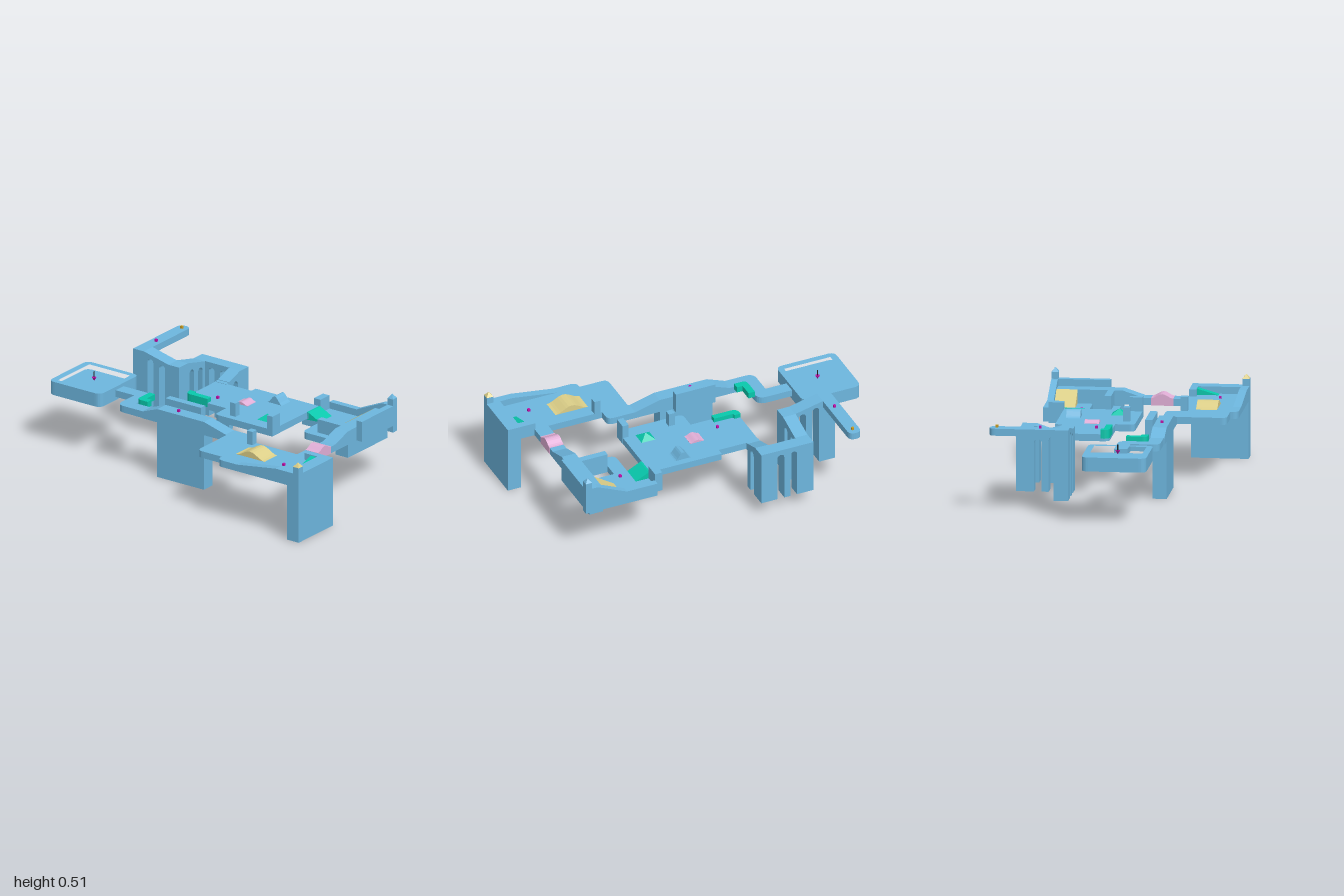
import * as THREE from 'three';

const mats = {};
const mat = (c) => (mats[c] ??= new THREE.MeshStandardMaterial({ color: c }));
const BLUE = 0x6db6de, TEAL = 0x08c8ac, PINK = 0xe0aed6, YELLOW = 0xdccf88, MAGENTA = 0xc010a8, GOLD = 0xc89a20;

export function createModel() {
  const root = new THREE.Group();
  const add = (name, geo, color = BLUE) => {
    const m = new THREE.Mesh(geo, mat(color));
    m.name = name;
    root.add(m);
    return m;
  };

  // Box given by its limits
  const box = (name, x0, x1, y0, y1, z0, z1, color) =>
    add(name, new THREE.BoxGeometry(x1 - x0, y1 - y0, z1 - z0)
      .translate((x0 + x1) / 2, (y0 + y1) / 2, (z0 + z1) / 2), color);

  // Closed outline from [a, b, cornerRadius] points
  const outline = (pts, Type = THREE.Shape) => {
    const s = new Type();
    pts.forEach(([a, b, r = 0], i) => {
      const p = new THREE.Vector2(a, b);
      const toward = (q) => new THREE.Vector2(q[0], q[1]).sub(p).setLength(r).add(p);
      const start = r ? toward(pts[(i + pts.length - 1) % pts.length]) : p;
      if (i) s.lineTo(start.x, start.y); else s.moveTo(start.x, start.y);
      if (r) {
        const end = toward(pts[(i + 1) % pts.length]);
        s.quadraticCurveTo(a, b, end.x, end.y);
      }
    });
    s.closePath();
    return s;
  };
  const extrude = (shape, depth) =>
    new THREE.ExtrudeGeometry(shape, { depth, bevelEnabled: false, curveSegments: 6 });

  // Slab from a plan of [x, z, r] points
  const flip = (pts) => pts.map(([x, z, r]) => [x, -z, r]);
  const slab = (name, pts, y0, y1, color, hole) => {
    const s = outline(flip(pts));
    if (hole) s.holes.push(outline(flip(hole), THREE.Path));
    return add(name, extrude(s, y1 - y0).rotateX(-Math.PI / 2).translate(0, y0, 0), color);
  };
  // Profile of [x, y] swept over z, or of [z, y] swept over x
  const sweepZ = (name, pts, z0, z1, color) =>
    add(name, extrude(outline(pts), z1 - z0).translate(0, 0, z0), color);
  const sweepX = (name, pts, x0, x1, color) =>
    add(name, extrude(outline(flip(pts).map(([z, y, r]) => [z, -y, r]).map(([a, b, r], i) => [-pts[i][0], pts[i][1], r])), x1 - x0)
      .rotateY(Math.PI / 2).translate(x0, 0, 0), color);

  const rect = (x0, x1, z0, z1, r) => [[x0, z0, r], [x1, z0, r], [x1, z1, r], [x0, z1, r]];
  // Smooth hump profile between a and b
  const hump = (a, b, base, low, height) => {
    const pts = [[a, base]];
    for (let i = 0; i <= 12; i++) {
      const t = i / 12;
      pts.push([a + (b - a) * t, low + height * (1 - Math.cos(2 * Math.PI * t)) / 2]);
    }
    pts.push([b, base]);
    return pts;
  };
  const pyramid = (name, x, y, z, size, h, color) =>
    add(name, new THREE.ConeGeometry(size / Math.SQRT2, h, 4).toNonIndexed().rotateY(Math.PI / 4)
      .translate(x, y + h / 2, z), color).geometry.computeVertexNormals();

  // Tray
  slab('trayFloor', rect(-1, -0.64, -0.085, 0.28, 0.04), 0.31, 0.345);
  slab('trayRim', rect(-1, -0.64, -0.085, 0.28, 0.04), 0.345, 0.39, BLUE, rect(-0.96, -0.675, -0.05, 0.245));
  add('trayArrowHead', new THREE.ConeGeometry(0.013, 0.022, 10).rotateX(Math.PI).translate(-0.815, 0.385, 0.1), MAGENTA);
  add('trayArrowStem', new THREE.CylinderGeometry(0.003, 0.003, 0.035, 6).translate(-0.815, 0.413, 0.1), 0x222222);

  // Front lane
  slab('frontLaneBend', [[-0.65, 0.06], [-0.43, 0.06, 0.055], [-0.43, 0.225], [-0.33, 0.225], [-0.33, 0.3],
    [-0.51, 0.3, 0.05], [-0.51, 0.135], [-0.65, 0.135]], 0.33, 0.37);
  sweepZ('frontLaneHill', [[-0.33, 0.33], [-0.225, 0.33], [-0.225, 0], [0.1, 0], [0.1, 0.33], [0.27, 0.33],
    [0.27, 0.37], [0.25, 0.37], [0.1, 0.41], [-0.225, 0.41], [-0.33, 0.37]], 0.225, 0.305);
  box('frontLaneWall', -0.225, 0.02, 0.33, 0.45, 0.183, 0.225);
  slab('frontLaneCurb', [[-0.43, 0.1], [-0.39, 0.1], [-0.39, 0.18], [-0.355, 0.18], [-0.355, 0.22],
    [-0.43, 0.22, 0.03]], 0.36, 0.395, TEAL);

  // Front platform
  slab('frontPlatform', [[0.26, 0.225], [0.42, 0.225, 0.035], [0.42, 0.305], [0.92, 0.305], [0.92, 0.63],
    [0.43, 0.63, 0.04], [0.43, 0.585], [0.26, 0.585, 0.035]], 0.33, 0.37);
  box('frontPlatformPillar', 0.92, 1, 0, 0.41, 0.305, 0.63);
  sweepZ('frontPlatformRim', [[0.57, 0.36], [0.92, 0.36], [0.92, 0.41], [0.84, 0.41], [0.57, 0.37]], 0.585, 0.63);
  box('frontPlatformBackWall', 0.83, 0.92, 0.33, 0.41, 0.305, 0.345);
  box('frontPlatformPost', 0.43, 0.467, 0.33, 0.45, 0.305, 0.345);
  box('cornerPost', 0.96, 1, 0.41, 0.45, 0.59, 0.63);
  pyramid('cornerPostCap', 0.98, 0.45, 0.61, 0.04, 0.025, YELLOW);
  sweepZ('frontHump', hump(0.47, 0.67, 0.36, 0.37, 0.037), 0.385, 0.505, YELLOW);
  sweepX('frontWedge', [[0.345, 0.37], [0.465, 0.37], [0.345, 0.405]], 0.875, 0.92, TEAL);

  // Bridge
  sweepX('bridge', [[0.305, 0.33], [-0.06, 0.33], [-0.06, 0.41], [0.06, 0.37], [0.305, 0.37]], 0.75, 0.835);
  sweepX('bridgeHump', hump(0.1, 0.225, 0.329, 0.371, 0.024), 0.749, 0.836, PINK);

  // Back right loop
  box('loopDeck', 0.75, 0.835, 0.25, 0.41, -0.435, -0.06);
  slab('loopFloor', [[0.385, -0.435], [0.75, -0.435], [0.75, -0.23], [0.59, -0.23], [0.59, -0.145], [0.75, -0.145],
    [0.75, -0.105], [0.71, -0.105], [0.71, -0.065], [0.51, -0.065, 0.04], [0.51, -0.235], [0.385, -0.235]], 0.29, 0.33);
  box('loopInnerWall', 0.59, 0.75, 0.32, 0.41, -0.145, -0.107);
  box('loopSideWall', 0.835, 0.873, 0.33, 0.45, -0.47, -0.14);
  sweepZ('loopBackWall', [[0.43, 0.29], [0.873, 0.29], [0.873, 0.45], [0.8, 0.45], [0.62, 0.37], [0.43, 0.37]], -0.472, -0.435);
  box('loopPost', 0.835, 0.873, 0.29, 0.49, -0.472, -0.435);
  pyramid('loopPostCap', 0.854, 0.49, -0.453, 0.038, 0.025, BLUE);
  box('loopCornerWall', 0.385, 0.43, 0.29, 0.41, -0.435, -0.35);
  sweepZ('loopDownRamp', [[0.42, 0.325], [0.51, 0.331], [0.43, 0.371], [0.42, 0.371]], -0.35, -0.235, TEAL);
  sweepZ('loopUpRamp', [[0.63, 0.325], [0.75, 0.325], [0.75, 0.41], [0.63, 0.331]], -0.435, -0.315, YELLOW);

  // Central platform
  slab('centralPlatform', [[-0.265, -0.31], [-0.02, -0.31], [-0.02, -0.35], [0.43, -0.35], [0.43, -0.235],
    [0.42, -0.235], [0.42, 0.095], [0.02, 0.095, 0.03], [0.02, -0.015], [-0.265, -0.015, 0.04]], 0.33, 0.37);
  box('centralPost', 0.1, 0.138, 0.36, 0.45, 0.02, 0.058);
  box('centralCornerPost', 0.385, 0.422, 0.33, 0.45, 0.02, 0.095);
  sweepZ('centralArchHump', hump(0.15, 0.25, 0.36, 0.37, 0.045), -0.31, -0.23);
  sweepZ('centralPinkHump', hump(0.015, 0.1, 0.36, 0.371, 0.015), -0.19, -0.107, PINK);
  pyramid('centralPyramid', 0.302, 0.37, -0.025, 0.085, 0.032, TEAL);
  slab('centralCurb', [[-0.266, -0.065], [-0.228, -0.065], [-0.228, -0.05, 0.01], [-0.11, -0.05], [-0.11, -0.014],
    [-0.266, -0.014, 0.04]], 0.345, 0.395, TEAL);

  // Viaduct: sloping wall with arched gaps open at the bottom
  const arcade = (a, b, ya, yb, slopeEnd, gaps) => {
    const pts = [[a, 0.085]];
    for (const [g0, g1, top] of gaps) {
      const r = (g1 - g0) / 2;
      pts.push([g0, 0.085]);
      for (let i = 0; i <= 8; i++) {
        const t = Math.PI * (1 - i / 8);
        pts.push([(g0 + g1) / 2 + r * Math.cos(t), top - r + r * Math.sin(t)]);
      }
      pts.push([g1, 0.085]);
    }
    pts.push([b, 0.085], [b, yb], [slopeEnd[1], yb], [slopeEnd[0], ya], [a, ya]);
    return pts;
  };
  sweepZ('viaductWest', arcade(-0.755, -0.435, 0.49, 0.45, [-0.68, -0.51],
    [[-0.657, -0.615, 0.455], [-0.575, -0.532, 0.435]]), -0.27, -0.188);
  sweepX('viaductMiddle', arcade(-0.512, -0.188, 0.41, 0.45, [-0.43, -0.27],
    [[-0.41, -0.367, 0.385], [-0.327, -0.285, 0.4]]), -0.512, -0.435);
  sweepZ('viaductNorth', arcade(-0.512, -0.19, 0.41, 0.41, [-0.4, -0.3],
    [[-0.41, -0.37, 0.38], [-0.332, -0.29, 0.38]]), -0.512, -0.435);
  sweepX('viaductEast', arcade(-0.512, -0.327, 0.41, 0.375, [-0.43, -0.328], [[-0.41, -0.367, 0.36]]), -0.267, -0.19);
  box('viaductEastEnd', -0.267, -0.19, 0.33, 0.372, -0.328, -0.3);
  slab('lookoutFinger', [[-0.755, -0.19], [-0.68, -0.19], [-0.68, -0.635, 0.037], [-0.755, -0.635, 0.037]], 0.45, 0.49);

  // Small markers
  [[-0.715, 0.497, -0.35, MAGENTA], [-0.715, 0.497, -0.595, GOLD], [-0.105, 0.417, 0.265, MAGENTA],
    [-0.105, 0.377, -0.105, MAGENTA], [0.57, 0.337, -0.27, MAGENTA], [0.79, 0.377, 0.485, MAGENTA]]
    .forEach(([x, y, z, c]) => box('marker', x - 0.007, x + 0.007, y - 0.007, y + 0.007, z - 0.007, z + 0.007, c));

  return root;
}
